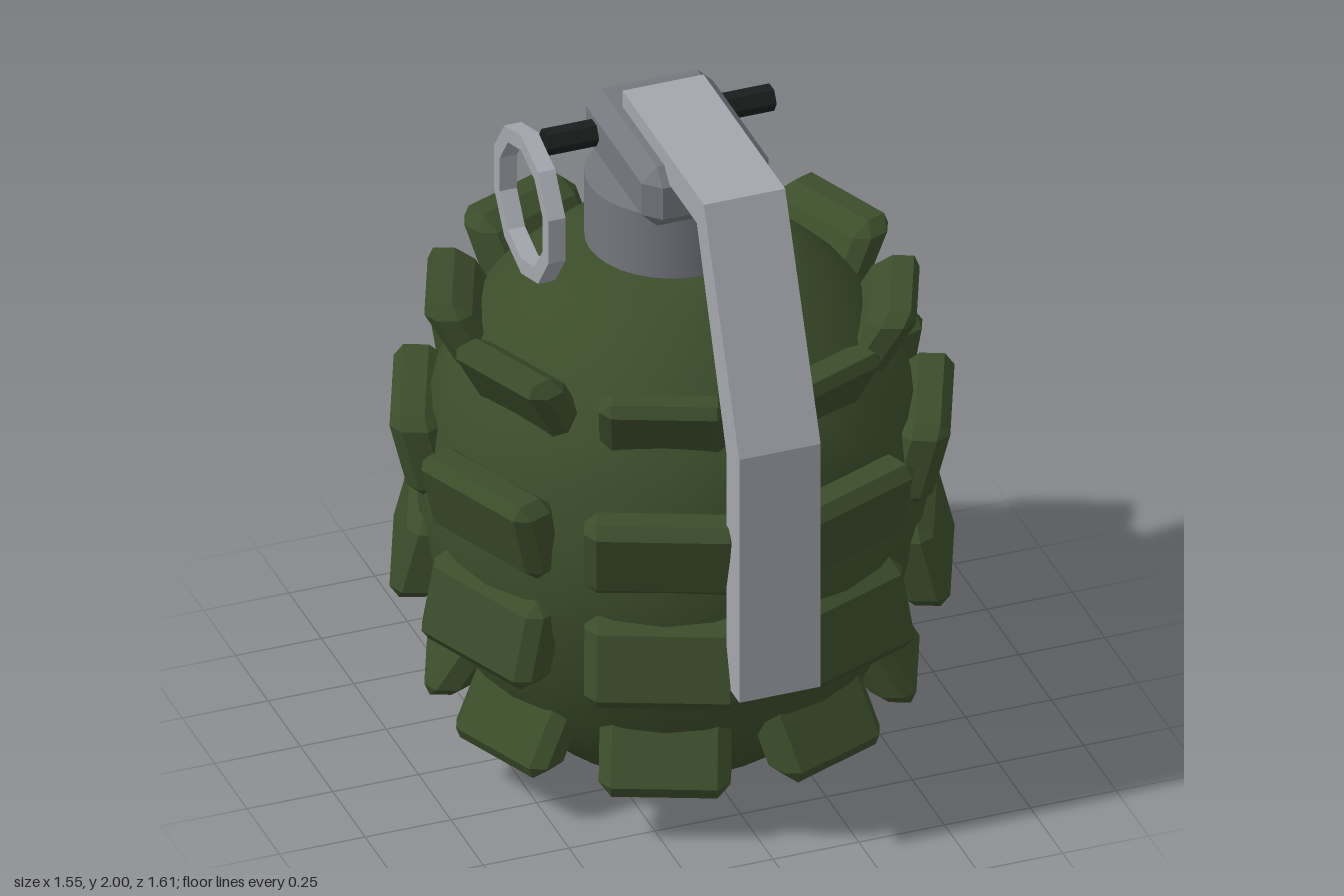
import * as THREE from 'three';
import { ConvexGeometry } from 'three/addons/geometries/ConvexGeometry.js';

const AXIS_Z = -0.03; // the body axis sits slightly behind the centre
const MID_Y = 0.78; // height of the widest part of the body

// Box with chamfered edges; slope leans it along z as y rises
function chamferBox(w, h, d, bevel, slope = 0) {
  const points = [];
  for (const sx of [-1, 1]) for (const sy of [-1, 1]) for (const sz of [-1, 1]) {
    for (let full = 0; full < 3; full++) {
      const [x, y, z] = [w / 2, h / 2, d / 2].map((v, i) => (i === full ? v : v - bevel));
      points.push(new THREE.Vector3(sx * x, sy * y, sz * z + slope * sy * y));
    }
  }
  return new ConvexGeometry(points);
}

// Extrudes a (z, y) outline across x, centred on x = 0
function extrudeAcross(shape, width) {
  const geo = new THREE.ExtrudeGeometry(shape, { depth: width, bevelEnabled: false });
  return geo.translate(0, 0, -width / 2).rotateY(-Math.PI / 2);
}

function polygon(sides, radius, Type) {
  const pts = [];
  for (let i = 0; i < sides; i++) {
    const a = Math.PI / 2 + (i / sides) * Math.PI * 2;
    pts.push(new THREE.Vector2(Math.cos(a) * radius, Math.sin(a) * radius));
  }
  return new Type(pts);
}

export function createModel() {
  const model = new THREE.Group();
  const material = (name, color, flatShading = false) => {
    const m = new THREE.MeshStandardMaterial({ color });
    m.name = name;
    m.flatShading = flatShading;
    return m;
  };
  const green = material('olive green', 0x3c4d2b);
  const darkSteel = material('dark steel', 0x75777e);
  const lightSteel = material('light steel', 0xa4a6ae);
  const black = material('black', 0x1b1d1d, true);

  const add = (name, geo, mat, x = 0, y = 0, z = 0, parent = model) => {
    const mesh = new THREE.Mesh(geo, mat);
    mesh.name = name;
    mesh.position.set(x, y, z);
    parent.add(mesh);
    return mesh;
  };

  // Smooth egg-shaped body
  const profile = [
    [0, 0], [0.11, 0.005], [0.37, 0.04], [0.52, 0.18], [0.605, 0.34], [0.655, 0.5], [0.69, 0.65],
    [0.702, 0.78], [0.69, 0.92], [0.655, 1.08], [0.605, 1.21], [0.51, 1.35], [0.42, 1.435], [0.36, 1.49],
    [0.26, 1.56], [0, 1.56],
  ].map(([r, y]) => new THREE.Vector2(r, y));
  add('body', new THREE.LatheGeometry(profile, 32), green, 0, 0, AXIS_Z);

  // Four rings of eight raised blocks, mirrored about the widest part
  const rings = [
    { name: 'middleBlock', geo: [0.435, 0.255, 0.14, 0.035], slope: 0.25, rise: 0.165, radius: 0.672 },
    { name: 'outerBlock', geo: [0.36, 0.24, 0.13, 0.035], slope: 0.58, rise: 0.508, radius: 0.557 },
  ];
  for (const ring of rings) {
    for (const side of [1, -1]) {
      const geo = chamferBox(...ring.geo, side * ring.slope);
      for (let i = 0; i < 8; i++) {
        const pivot = new THREE.Group();
        pivot.name = ring.name;
        pivot.position.set(0, MID_Y + side * ring.rise, AXIS_Z);
        pivot.rotation.y = ((i + 0.5) * Math.PI) / 4;
        add(ring.name + 'Mesh', geo, green, 0, 0, ring.radius, pivot);
        model.add(pivot);
      }
    }
  }

  // Neck and fuse head
  add('neck', new THREE.CylinderGeometry(0.24, 0.24, 0.22, 32), darkSteel, 0, 1.652, AXIS_Z);
  add('fuseHead', chamferBox(0.37, 0.19, 0.52, 0.045), darkSteel, 0, 1.855, 0.01);

  // Bent safety lever running down the front
  const leverShape = new THREE.Shape([
    [-0.1, 2], [-0.1, 1.91], [0.475, 1.91], [0.705, 1.3], [0.705, 0.56], [0.804, 0.56], [0.804, 1.34], [0.53, 2],
  ].map(([z, y]) => new THREE.Vector2(z, y)));
  add('lever', extrudeAcross(leverShape, 0.237), lightSteel);

  // Six-sided pin through the head
  const pinGeo = new THREE.CylinderGeometry(0.038, 0.038, 0.665, 6).rotateZ(Math.PI / 2);
  add('pin', pinGeo, black, 0, 1.857, -0.14);

  // Ten-sided pull ring
  const ringShape = polygon(10, 0.221, THREE.Shape);
  ringShape.holes.push(polygon(10, 0.174, THREE.Path));
  add('pullRing', extrudeAcross(ringShape, 0.05), lightSteel, -0.372, 1.67, -0.143);

  return model;
}
